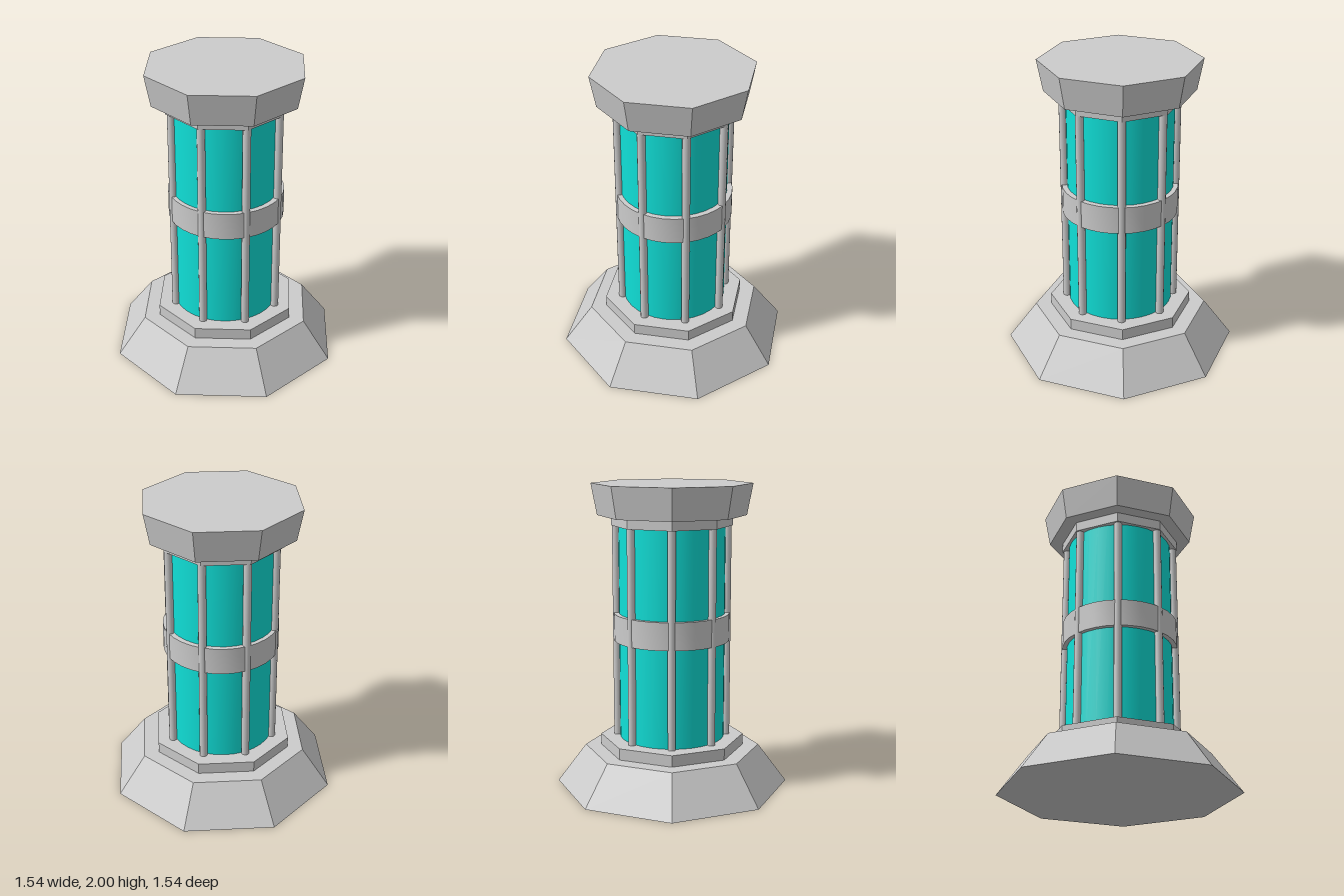
import * as THREE from 'three';
import { toCreasedNormals } from 'three/addons/utils/BufferGeometryUtils.js';

const stone = new THREE.MeshStandardMaterial({ color: 0xcccccc, flatShading: true });
const metal = new THREE.MeshStandardMaterial({ color: 0xcccccc });
const glass = new THREE.MeshStandardMaterial({ color: 0x10e0d8 });

export function createModel() {
  const model = new THREE.Group();

  function add(name, geometry, material, parent = model) {
    const mesh = new THREE.Mesh(geometry, material);
    mesh.name = name;
    parent.add(mesh);
    return mesh;
  }

  // Upright prism or cylinder between two heights
  function column(name, rBottom, rTop, y0, y1, sides, material, parent) {
    const geometry = new THREE.CylinderGeometry(rTop, rBottom, y1 - y0, sides);
    geometry.translate(0, (y0 + y1) / 2, 0);
    return add(name, geometry, material, parent);
  }

  // Octagonal foot, collar, neck and flared cap
  column('base', 0.77, 0.58, 0, 0.255, 8, stone);
  column('baseCollar', 0.475, 0.475, 0.255, 0.33, 8, stone);
  column('neck', 0.394, 0.394, 1.73, 1.795, 8, stone);
  column('cap', 0.483, 0.522, 1.795, 2, 8, stone);

  // Glass tank
  const tank = column('glassTank', 0.347, 0.347, 0.33, 1.73, 32, glass);
  tank.geometry = toCreasedNormals(tank.geometry, 0.7);

  // Ring around the middle of the tank
  const profile = [[0.34, 0.98], [0.379, 0.98], [0.379, 1.16], [0.34, 1.16], [0.34, 0.98]]
    .map(([r, y]) => new THREE.Vector2(r, y));
  const band = add('middleBand', toCreasedNormals(new THREE.LatheGeometry(profile, 32), 0.7), metal);

  // Cage of eight upright rods, one at each corner of the octagon
  const cage = new THREE.Group();
  cage.name = 'rodCage';
  model.add(cage);
  for (let i = 0; i < 8; i++) {
    const a = (i * Math.PI) / 4;
    const rod = column('rod', 0.026, 0.026, 0.33, 1.73, 12, metal, cage);
    rod.position.set(Math.sin(a) * 0.361, 0, Math.cos(a) * 0.361);
  }

  // The cage and its ring sit very slightly off the axis
  for (const part of [cage, band]) part.position.set(0.004, 0, 0.002);

  return model;
}
